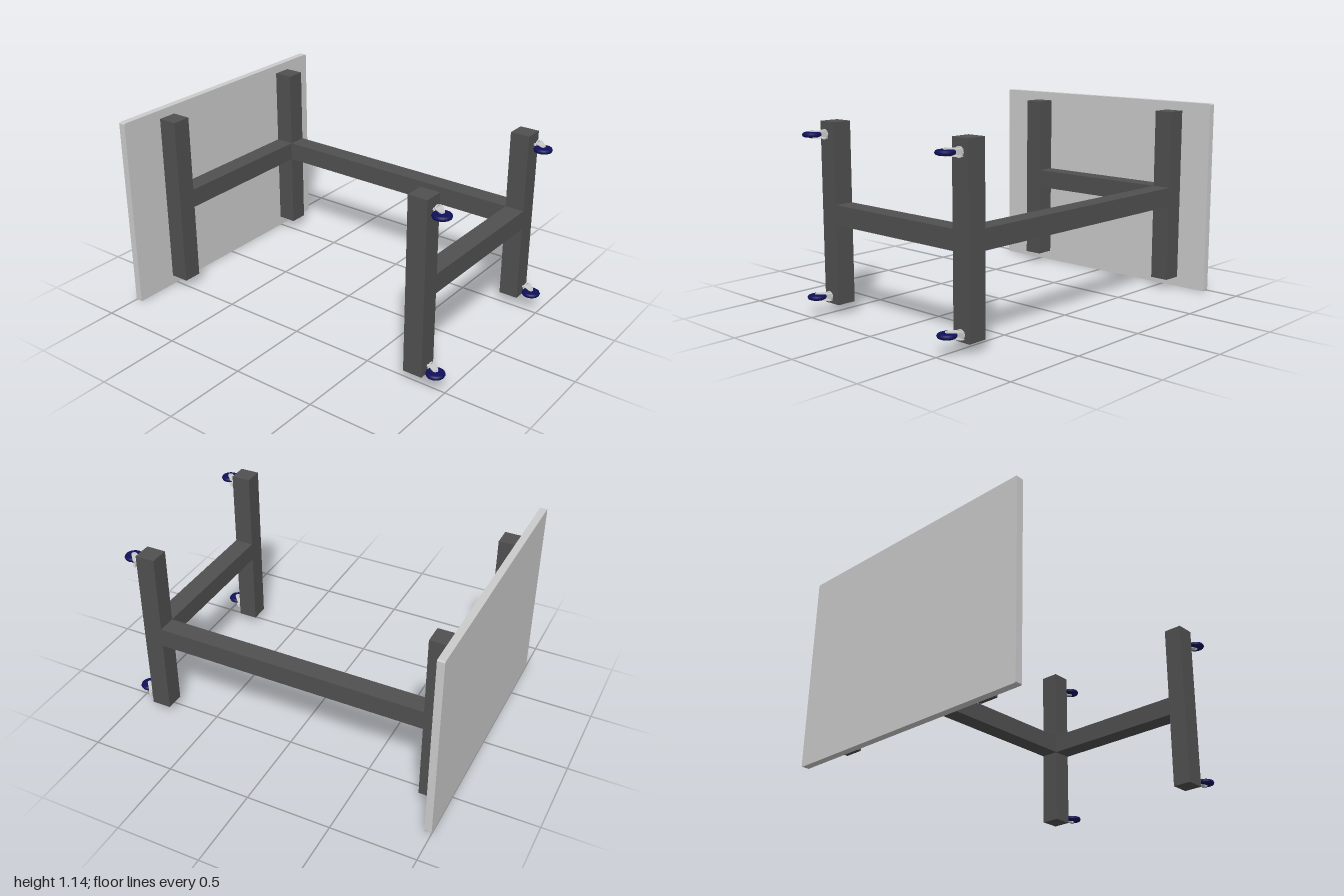
import * as THREE from 'three';

const GREY = new THREE.MeshStandardMaterial({ color: 0xcccccc });
const FRAME = new THREE.MeshStandardMaterial({ color: 0x505050 });
const TYRE = new THREE.MeshStandardMaterial({ color: 0x10105a });

function add(parent, name, geometry, material, x = 0, y = 0, z = 0) {
  const mesh = new THREE.Mesh(geometry, material);
  mesh.name = name;
  mesh.position.set(x, y, z);
  parent.add(mesh);
  return mesh;
}

// Box given by its limits on each axis
function bar(parent, name, [x0, x1], [y0, y1], [z0, z1]) {
  add(parent, name, new THREE.BoxGeometry(x1 - x0, y1 - y0, z1 - z0), FRAME,
    (x0 + x1) / 2, (y0 + y1) / 2, (z0 + z1) / 2);
}

// Swivel caster: origin on the mounting face, stem along +z, wheel trailing to -x
function makeCaster() {
  const caster = new THREE.Group();
  caster.name = 'caster';
  add(caster, 'stem', new THREE.CylinderGeometry(0.008, 0.008, 0.024, 16), GREY, 0, 0, 0.01).rotation.x = Math.PI / 2;
  add(caster, 'swivelPlate', new THREE.CylinderGeometry(0.029, 0.029, 0.008, 24), GREY, 0, 0, 0.022).rotation.x = Math.PI / 2;

  // Two fork cheeks either side of the wheel
  const cheek = new THREE.Shape([
    [-0.027, 0.02], [0.029, 0.02], [0.029, 0.034], [-0.025, 0.082],
    [-0.04, 0.088], [-0.052, 0.078], [-0.052, 0.068],
  ].map(([x, z]) => new THREE.Vector2(x, z)));
  const cheekGeo = new THREE.ExtrudeGeometry(cheek, { depth: 0.004, bevelEnabled: false });
  for (const y of [-0.016, 0.02]) add(caster, 'forkCheek', cheekGeo, GREY, 0, y, 0).rotation.x = Math.PI / 2;

  // Wheel with rounded tread, and its axle
  const profile = [[0, -0.013], [0.04, -0.013], [0.049, -0.009], [0.053, 0],
    [0.049, 0.009], [0.04, 0.013], [0, 0.013]].map(([r, y]) => new THREE.Vector2(r, y));
  add(caster, 'wheel', new THREE.LatheGeometry(profile, 32), TYRE, -0.04, 0, 0.075);
  add(caster, 'axle', new THREE.CylinderGeometry(0.006, 0.006, 0.046, 12), GREY, -0.04, 0, 0.075);
  return caster;
}

export function createModel() {
  const model = new THREE.Group();
  model.name = 'rollingTable';

  // Tabletop, standing on its long edge, with slightly rounded corners
  const w = 0.8, h = 1.14, r = 0.008;
  const outline = new THREE.Shape();
  outline.absarc(w - r, r, r, -Math.PI / 2, 0);
  outline.absarc(w - r, h - r, r, 0, Math.PI / 2);
  outline.absarc(-w + r, h - r, r, Math.PI / 2, Math.PI);
  outline.absarc(-w + r, r, r, Math.PI, Math.PI * 1.5);
  add(model, 'tabletop', new THREE.ExtrudeGeometry(outline,
    { depth: 0.042, bevelEnabled: false, curveSegments: 4 }), GREY, 0, 0, -1);

  // H-shaped frames under the top and at the foot
  const right = [-0.533, -0.42], left = [0.495, 0.608];
  const mid = [0.518, 0.631], tall = [0.06, 1.088];
  for (const [name, z] of [['topFrame', [-0.958, -0.843]], ['baseFrame', [0.757, 0.872]]]) {
    const frame = new THREE.Group();
    frame.name = name;
    bar(frame, 'rightRail', right, tall, z);
    bar(frame, 'leftRail', left, tall, z);
    bar(frame, 'crossbar', [right[1], left[0]], mid, z);
    model.add(frame);
  }

  // Single side column joining the frames
  bar(model, 'column', left, mid, [-0.843, 0.757]);

  // Four casters on the base
  for (const x of [-0.475, 0.565]) {
    for (const y of [0.107, 1.02]) {
      const caster = makeCaster();
      caster.position.set(x, y, 0.872);
      model.add(caster);
    }
  }
  return model;
}
